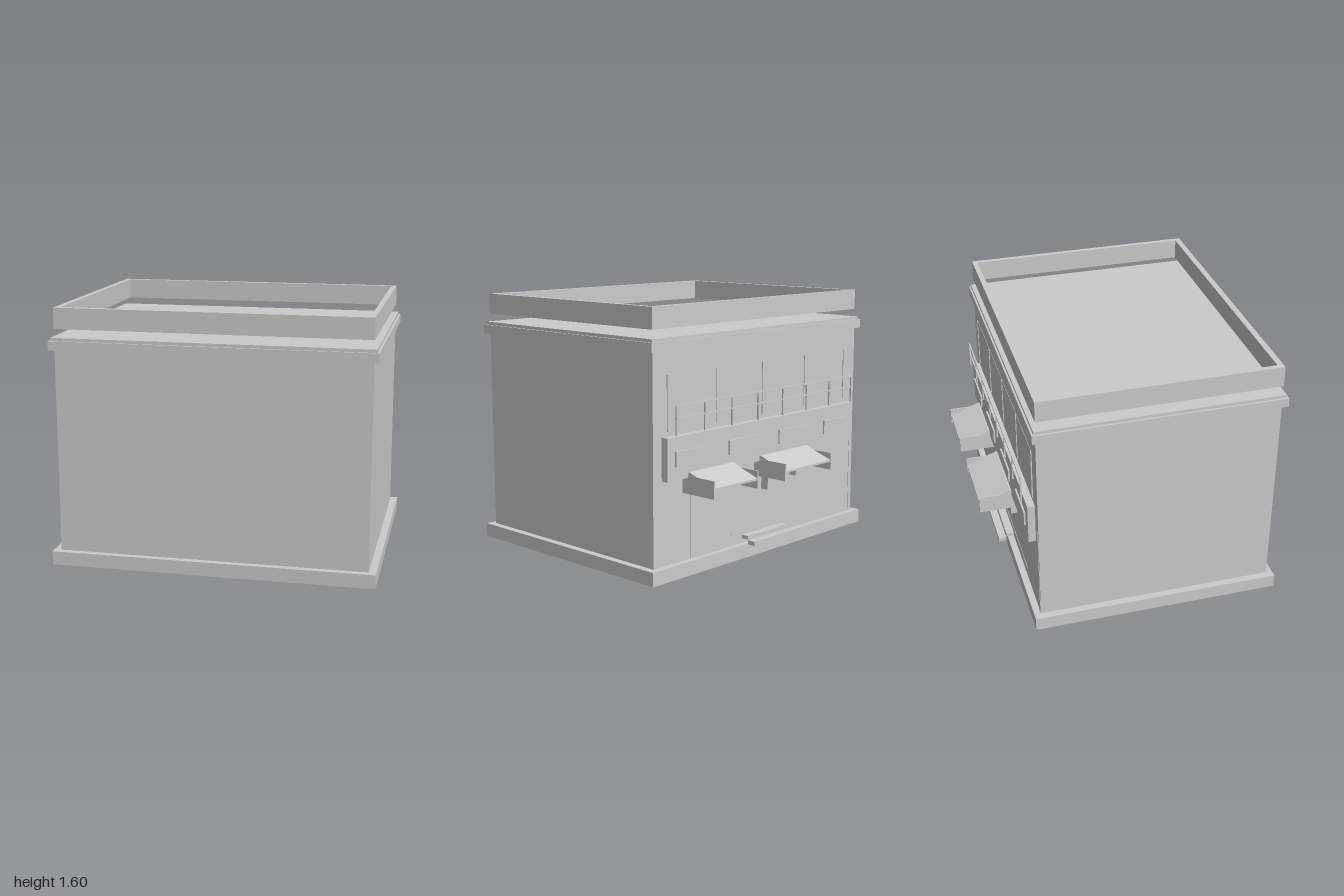
import * as THREE from 'three';

export function createModel() {
  const model = new THREE.Group();
  const mat = new THREE.MeshStandardMaterial({ color: 0xcccccc, flatShading: true });

  const add = (name, geometry) => {
    const mesh = new THREE.Mesh(geometry, mat);
    mesh.name = name;
    model.add(mesh);
    return mesh;
  };
  // Box given by its extents along each axis
  const box = (name, x0, x1, y0, y1, z0, z1) => {
    const mesh = add(name, new THREE.BoxGeometry(x1 - x0, y1 - y0, z1 - z0));
    mesh.position.set((x0 + x1) / 2, (y0 + y1) / 2, (z0 + z1) / 2);
    return mesh;
  };

  // Main block
  box('plinth', -1, 1, 0, 0.086, -0.677, 0.887);
  box('walls', -0.955, 0.955, 0.086, 1.347, -0.635, 0.847);
  box('cornice', -0.985, 0.985, 1.347, 1.403, -0.66, 0.876);
  box('roofSlab', -0.972, 0.972, 1.403, 1.422, -0.648, 0.864);

  // Floating parapet frame: outer outline runs anticlockwise, the hole clockwise
  const outline = (path, x0, x1, z0, z1) =>
    path.moveTo(x0, -z0).lineTo(x1, -z0).lineTo(x1, -z1).lineTo(x0, -z1).closePath();
  const ring = outline(new THREE.Shape(), 0.955, -0.955, -0.633, 0.847);
  ring.holes.push(outline(new THREE.Path(), -0.922, 0.922, -0.6, 0.81));
  const parapet = add('parapet', new THREE.ExtrudeGeometry(ring, { depth: 0.128, bevelEnabled: false }));
  parapet.rotation.x = -Math.PI / 2;
  parapet.position.y = 1.473;

  // Fascia band with four sign panels
  box('fasciaBand', -0.885, 0.885, 0.596, 0.852, -0.681, -0.63);
  for (const x of [-0.695, -0.235, 0.235, 0.695])
    box('fasciaPanel', x - 0.128, x + 0.128, 0.678, 0.768, -0.692, -0.68);

  // Upper window strip with mullions
  box('upperGlazing', -0.84, 0.84, 0.88, 1.208, -0.637, -0.63);
  for (let i = -2; i <= 2; i++)
    box('upperMullion', i * 0.418 - 0.006, i * 0.418 + 0.006, 0.88, 1.208, -0.642, -0.63);

  // Railing
  for (let i = 0; i < 8; i++) {
    const x = -0.834 + i * 0.2383;
    box('railPost', x - 0.005, x + 0.005, 0.865, 1.035, -0.71, -0.7);
  }
  for (const y of [0.96, 1.031])
    box('handrail', -0.839, 0.839, y, y + 0.01, -0.711, -0.701);

  // Entrance canopies: sloped plate between two side cheeks
  for (const [x0, x1] of [[-0.39, 0.075], [0.325, 0.715]]) {
    for (const x of [x0, x1 - 0.01])
      box('canopyCheek', x, x + 0.01, 0.5, 0.608, -0.887, -0.635);
    const profile = new THREE.Shape();
    profile.moveTo(0.65, 0.63).lineTo(0.69, 0.63).lineTo(0.885, 0.563).lineTo(0.885, 0.55).lineTo(0.65, 0.615);
    const plate = add('canopyPlate', new THREE.ExtrudeGeometry(profile, { depth: x1 - x0 - 0.004, bevelEnabled: false }));
    plate.rotation.y = Math.PI / 2;
    plate.position.x = x0 + 0.002;
  }

  // Wall boxes under the canopy, at two heights
  for (const [x, y] of [[-0.38, 0.445], [-0.1, 0.4]])
    box('wallBox', x, x + 0.1, y, y + 0.078, -0.688, -0.635);

  // Ground floor shopfront, door and corner strip
  box('shopSill', -0.59, 0.28, 0.152, 0.164, -0.638, -0.63);
  box('shopLintel', -0.59, 0.28, 0.52, 0.6, -0.638, -0.63);
  box('doorFrame', 0.345, 0.69, 0.086, 0.6, -0.638, -0.63);
  box('doorPanel', 0.387, 0.648, 0.086, 0.58, -0.641, -0.63);
  box('cornerStrip', -0.945, -0.92, 0.086, 0.69, -0.638, -0.63);

  // Entrance steps
  box('upperStep', -0.19, 0.19, 0.118, 0.141, -0.692, -0.642);
  box('lowerStep', -0.19, 0.19, 0.088, 0.114, -0.744, -0.694);

  return model;
}
